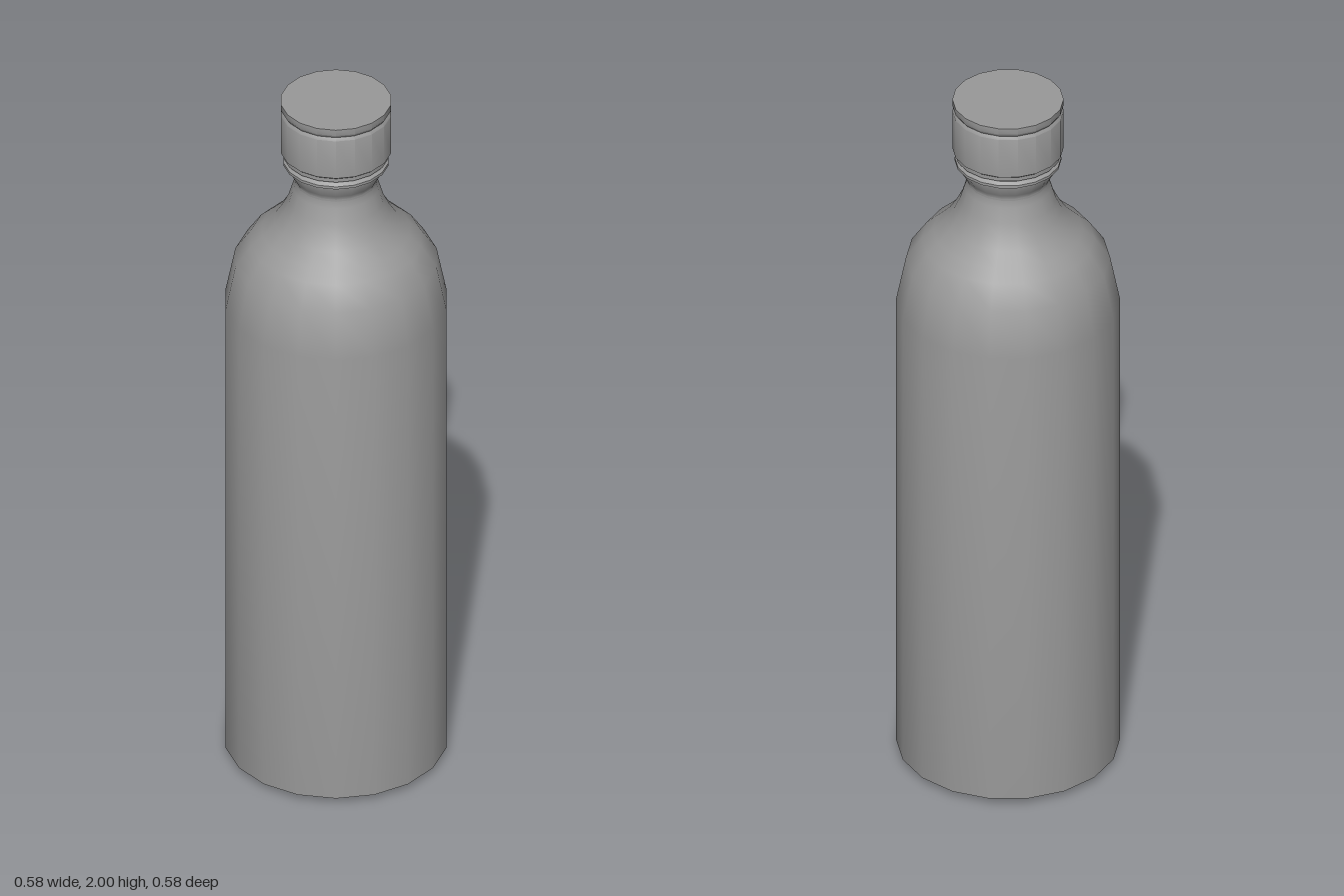
import * as THREE from 'three';
import { toCreasedNormals } from 'three/addons/utils/BufferGeometryUtils.js';

const SIDES = 18;
const material = new THREE.MeshStandardMaterial({ color: 0x999999 });

// Revolve [radius, height] pairs, keeping sharp steps crisp and curves smooth
function turned(name, profile) {
  const points = profile.map(([r, y]) => new THREE.Vector2(r, y));
  const lathe = new THREE.LatheGeometry(points, SIDES, Math.PI / 2);
  const mesh = new THREE.Mesh(toCreasedNormals(lathe, 0.65), material);
  mesh.name = name;
  return mesh;
}

export function createModel() {
  const group = new THREE.Group();
  group.name = 'bottle';

  // Body: recessed underside, bevelled foot, straight wall, rounded shoulder,
  // waisted neck flaring out below the cap
  group.add(turned('body', [
    [0, 0.025], [0.215, 0.025], [0.234, 0], [0.244, 0], [0.292, 0.018],
    [0.292, 1.38], [0.266, 1.51], [0.225, 1.57], [0.195, 1.598], [0.162, 1.63],
    [0.141, 1.662], [0.125, 1.695], [0.113, 1.735], [0.107, 1.753],
    [0.107, 1.759], [0.113, 1.772], [0.13, 1.803], [0.13, 1.812],
  ]));

  // Tamper ring
  group.add(turned('ring', [
    [0.12, 1.808], [0.139, 1.812], [0.139, 1.82], [0.13, 1.828], [0.13, 1.836],
  ]));

  // Cap with a grooved top edge
  group.add(turned('cap', [
    [0.12, 1.832], [0.139, 1.834], [0.139, 1.845], [0.145, 1.85],
    [0.145, 1.965], [0.139, 1.973], [0.145, 1.982], [0.145, 2], [0, 2],
  ]));

  return group;
}
